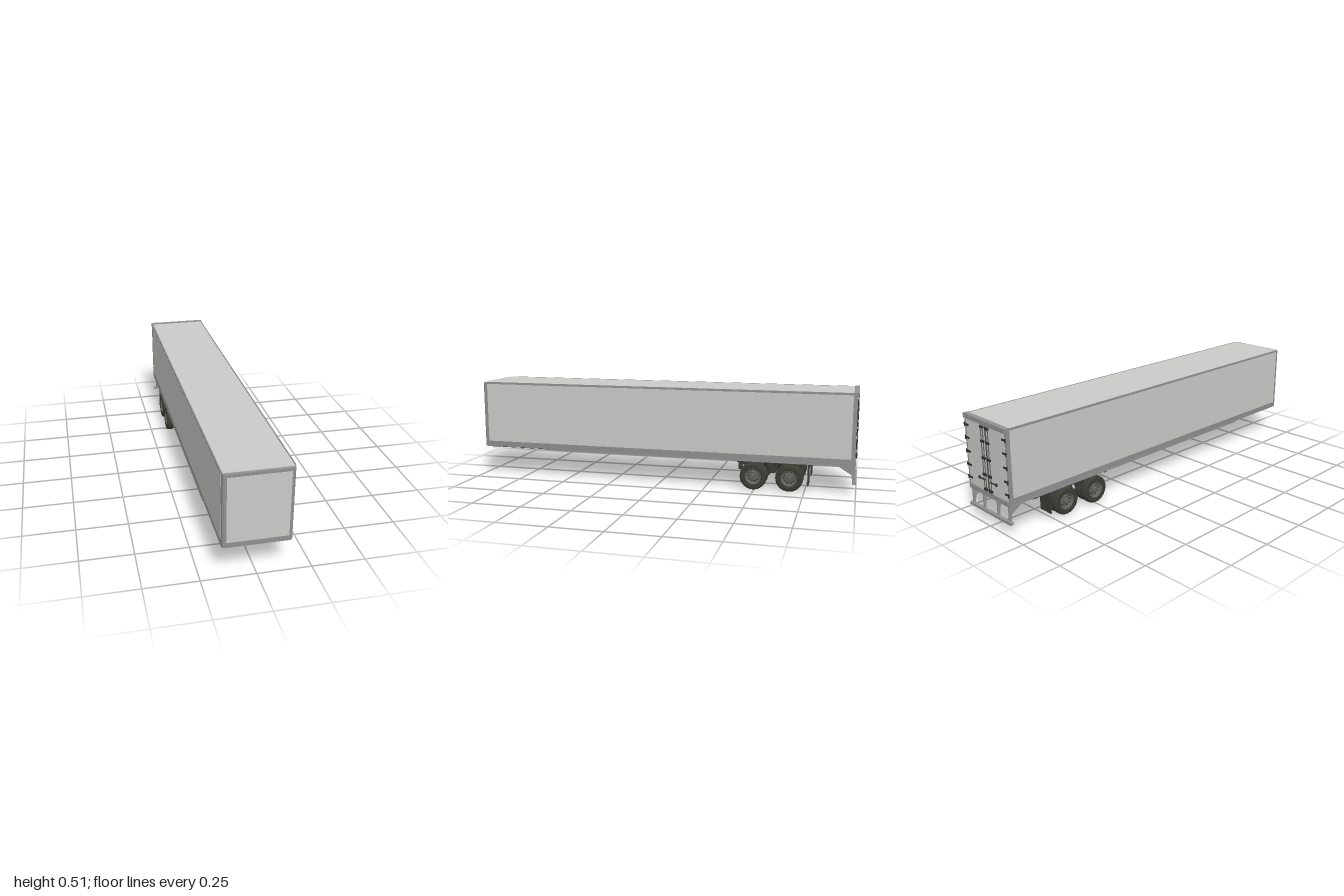
import * as THREE from 'three';
import { toCreasedNormals } from 'three/addons/utils/BufferGeometryUtils.js';

const mat = (name, color) => new THREE.MeshStandardMaterial({ name, color });
const panelWhite = mat('panel white', 0xcacac8);
const frameGrey = mat('frame grey', 0x929292);
const tyreRubber = mat('tyre rubber', 0x3c3c35);
const rimSteel = mat('rim steel', 0x64645f);
const chassisDark = mat('chassis dark', 0x3a3a36);
const floorBlack = mat('floor black', 0x272723);
const hardwareBlack = mat('hardware black', 0x2b2b2b);

export function createModel() {
  const model = new THREE.Group();
  model.name = 'boxTrailer';

  const add = (parent, name, geo, material, x = 0, y = 0, z = 0) => {
    const m = new THREE.Mesh(geo, material);
    m.name = name;
    m.position.set(x, y, z);
    parent.add(m);
    return m;
  };
  // box given by its limits on each axis
  const box = (parent, name, material, x0, x1, y0, y1, z0, z1) =>
    add(parent, name, new THREE.BoxGeometry(x1 - x0, y1 - y0, z1 - z0), material,
      (x0 + x1) / 2, (y0 + y1) / 2, (z0 + z1) / 2);
  // box repeated on both sides of x = 0
  const pair = (parent, name, material, x0, x1, ...rest) => {
    box(parent, name, material, x0, x1, ...rest);
    box(parent, name, material, -x1, -x0, ...rest);
  };
  // cylinder lying along x
  const axle = (parent, name, material, r, len, x, y, z, seg = 20) =>
    add(parent, name, new THREE.CylinderGeometry(r, r, len, seg).rotateZ(Math.PI / 2), material, x, y, z);
  // side profile (z, y) extruded to a plate of the given width, centred on x
  const sidePlate = (parent, name, material, pts, width, x) => {
    const s = new THREE.Shape(pts.map(p => new THREE.Vector2(p[0], p[1])));
    const g = new THREE.ExtrudeGeometry(s, { depth: width, bevelEnabled: false });
    return add(parent, name, g.translate(0, 0, -width / 2).rotateY(-Math.PI / 2), material, x);
  };
  const group = (name, parent = model) => {
    const g = new THREE.Group();
    g.name = name;
    parent.add(g);
    return g;
  };

  // Cargo body: plan outline with rounded front corners, extruded upward
  const body = group('cargoBody');
  const W = 0.157, F = 0.998, R = 0.016;
  const plan = new THREE.Shape();
  plan.moveTo(-W, 0.978);
  plan.lineTo(W, 0.978);
  plan.lineTo(W, -F + R);
  plan.absarc(W - R, -F + R, R, 0, -Math.PI / 2, true);
  plan.lineTo(-W + R, -F);
  plan.absarc(-W + R, -F + R, R, -Math.PI / 2, -Math.PI, true);
  const shell = new THREE.ExtrudeGeometry(plan, { depth: 0.353, bevelEnabled: false, curveSegments: 8 });
  add(body, 'bodyFrame', toCreasedNormals(shell.rotateX(-Math.PI / 2), 0.6), frameGrey, 0, 0.152, 0);
  box(body, 'roofPanel', panelWhite, -0.153, 0.153, 0.503, 0.507, -0.976, 0.984);
  box(body, 'frontPanel', panelWhite, -0.138, 0.138, 0.178, 0.49, 0.996, 1);
  pair(body, 'sidePanel', panelWhite, 0.155, 0.1585, 0.182, 0.497, -0.972, 0.972);
  pair(body, 'topRail', frameGrey, 0.154, 0.159, 0.499, 0.508, -0.976, 0.975);
  pair(body, 'lowerRail', frameGrey, 0.148, 0.158, 0.145, 0.154, -0.975, 0.6);

  // Rear frame and doors
  const rear = group('rearEnd');
  box(rear, 'rearHeader', frameGrey, -0.161, 0.161, 0.488, 0.51, -0.998, -0.974);
  pair(rear, 'rearPost', frameGrey, 0.148, 0.16, 0.145, 0.49, -0.992, -0.974);
  box(rear, 'rearSill', frameGrey, -0.158, 0.158, 0.143, 0.166, -0.995, -0.96);
  pair(rear, 'door', panelWhite, 0.0015, 0.15, 0.168, 0.487, -0.992, -0.974);
  box(rear, 'doorSeal', hardwareBlack, -0.0015, 0.0015, 0.168, 0.487, -0.993, -0.978);
  for (const s of [-1, 1]) {
    for (const y of [0.2, 0.262, 0.328, 0.394, 0.457]) {
      box(rear, 'hinge', hardwareBlack, s * 0.143 - 0.014, s * 0.143 + 0.014, y - 0.004, y + 0.004, -0.996, -0.99);
      add(rear, 'hingePin', new THREE.CylinderGeometry(0.003, 0.003, 0.018, 8), hardwareBlack, s * 0.157, y, -0.996);
    }
    for (const x of [0.012, 0.027]) {
      add(rear, 'lockRod', new THREE.CylinderGeometry(0.0022, 0.0022, 0.325, 10), rimSteel, s * x, 0.326, -0.9965);
      for (const y of [0.178, 0.25, 0.33, 0.41, 0.477])
        box(rear, 'rodKeeper', hardwareBlack, s * x - 0.0045, s * x + 0.0045, y - 0.005, y + 0.005, -1, -0.991);
    }
    box(rear, 'lockHandle', hardwareBlack, s * 0.045 - 0.025, s * 0.045 + 0.025, 0.222, 0.226, -0.999, -0.995);
    box(rear, 'handleCatch', hardwareBlack, s * 0.066 - 0.004, s * 0.066 + 0.004, 0.217, 0.23, -0.999, -0.991);
    // Underride guard struts
    sidePlate(rear, 'guardBracket', frameGrey,
      [[-0.9, 0.15], [-0.992, 0.15], [-0.992, 0.062], [-0.982, 0.062], [-0.976, 0.103]], 0.006, s * 0.142);
    sidePlate(rear, 'guardStrut', frameGrey,
      [[-0.95, 0.15], [-0.992, 0.15], [-0.992, 0.062], [-0.982, 0.062], [-0.978, 0.11]], 0.006, s * 0.055);
  }
  box(rear, 'underrideBar', frameGrey, -0.16, 0.16, 0.058, 0.071, -0.999, -0.982);

  // Underfloor with crossmembers and long rails
  const under = group('underfloor');
  box(under, 'floorPlate', floorBlack, -0.15, 0.15, 0.149, 0.153, -0.96, 0.985);
  for (let i = 0; i < 14; i++) {
    const z = 0.92 - i * 0.14;
    box(under, 'crossmember', chassisDark, -0.148, 0.148, z > 0.6 ? 0.146 : 0.143, 0.15, z - 0.005, z + 0.005);
  }
  pair(under, 'longRail', chassisDark, 0.048, 0.054, 0.145, 0.15, -0.4, 0.96);

  // Bogie: rails, hangers, springs and axles
  const bogie = group('bogie');
  pair(bogie, 'bogieRail', chassisDark, 0.054, 0.068, 0.134, 0.15, -0.82, -0.38);
  for (const z of [-0.42, -0.585, -0.78])
    box(bogie, 'bogieCrossbeam', chassisDark, -0.15, 0.15, 0.137, 0.15, z - 0.008, z + 0.008);
  box(bogie, 'airTank', floorBlack, -0.04, 0.04, 0.08, 0.145, -0.63, -0.54);
  const wheelZ = [-0.495, -0.675], wheelY = 0.069;
  for (const s of [-1, 1]) {
    sidePlate(bogie, 'centreHanger', chassisDark,
      [[-0.53, 0.145], [-0.64, 0.145], [-0.61, 0.112], [-0.597, 0.072], [-0.573, 0.072], [-0.56, 0.112]], 0.016, s * 0.06);
    box(bogie, 'hangerOutrigger', chassisDark, s * 0.11 - 0.042, s * 0.11 + 0.042, 0.12, 0.145, -0.605, -0.565);
    for (const z of wheelZ) {
      sidePlate(bogie, 'trailingArm', chassisDark,
        [[z + 0.08, 0.1], [z + 0.08, 0.085], [z, 0.06], [z - 0.045, 0.07], [z - 0.045, 0.085], [z, 0.085]], 0.014, s * 0.06);
      box(bogie, 'armHanger', chassisDark, s * 0.06 - 0.009, s * 0.06 + 0.009, 0.082, 0.14, z + 0.07, z + 0.088);
      for (let i = 0; i < 5; i++)
        add(bogie, 'airSpringRing', new THREE.TorusGeometry(0.009, 0.0055, 8, 18).rotateX(Math.PI / 2),
          hardwareBlack, s * 0.06, 0.09 + i * 0.0095, z - 0.03);
      axle(bogie, 'brakeDrum', chassisDark, 0.032, 0.02, s * 0.078, wheelY, z, 24);
    }
    // Mud flap
    box(bogie, 'mudFlap', chassisDark, s * 0.117 - 0.039, s * 0.117 + 0.039, 0.035, 0.145, -0.771, -0.766);
  }
  for (const z of wheelZ) axle(bogie, 'axleTube', chassisDark, 0.0095, 0.17, 0, wheelY, z);

  // Twin wheels: tyre and rim profiles as (radius, offset) turned on a lathe
  const lathe = (pts, crease) => toCreasedNormals(
    new THREE.LatheGeometry(pts.map(p => new THREE.Vector2(p[0], p[1])), 36), crease);
  const tyreGeo = lathe([[0.039, -0.018], [0.046, -0.0205], [0.058, -0.021], [0.065, -0.0185], [0.068, -0.014],
    [0.069, -0.006], [0.0675, -0.0055], [0.0675, -0.0045], [0.069, -0.004], [0.069, 0.004], [0.0675, 0.0045],
    [0.0675, 0.0055], [0.069, 0.006], [0.068, 0.014], [0.065, 0.0185], [0.058, 0.021], [0.046, 0.0205], [0.039, 0.018]], 0.7);
  const rimGeo = lathe([[0, -0.006], [0.03, -0.006], [0.036, -0.015], [0.04, -0.0195], [0.041, -0.017],
    [0.041, 0.017], [0.04, 0.0195], [0.037, 0.018], [0.034, 0.006], [0.027, 0.003], [0.022, 0.009],
    [0.014, 0.009], [0.0135, 0.017], [0.011, 0.0195], [0, 0.0195]], 0.6);
  const boltGeo = new THREE.CylinderGeometry(0.0014, 0.0014, 0.004, 6);
  const holeGeo = new THREE.CylinderGeometry(0.0032, 0.0032, 0.003, 10);
  const wheels = group('wheels');
  for (const s of [-1, 1]) for (const z of wheelZ) for (const x of [0.0965, 0.139]) {
    const wheel = group(x > 0.12 ? 'outerWheel' : 'innerWheel', wheels);
    wheel.position.set(s * x, wheelY, z);
    wheel.rotation.z = -s * Math.PI / 2;
    add(wheel, 'tyre', tyreGeo, tyreRubber);
    add(wheel, 'rim', rimGeo, rimSteel);
    if (x < 0.12) continue;
    for (let i = 0; i < 10; i++) {
      const a = i * Math.PI / 5;
      add(wheel, 'wheelBolt', boltGeo, chassisDark, Math.cos(a) * 0.018, 0.011, Math.sin(a) * 0.018);
      add(wheel, 'rimHole', holeGeo, hardwareBlack, Math.cos(a + 0.3) * 0.029, 0.0037, Math.sin(a + 0.3) * 0.029);
    }
  }
  return model;
}
